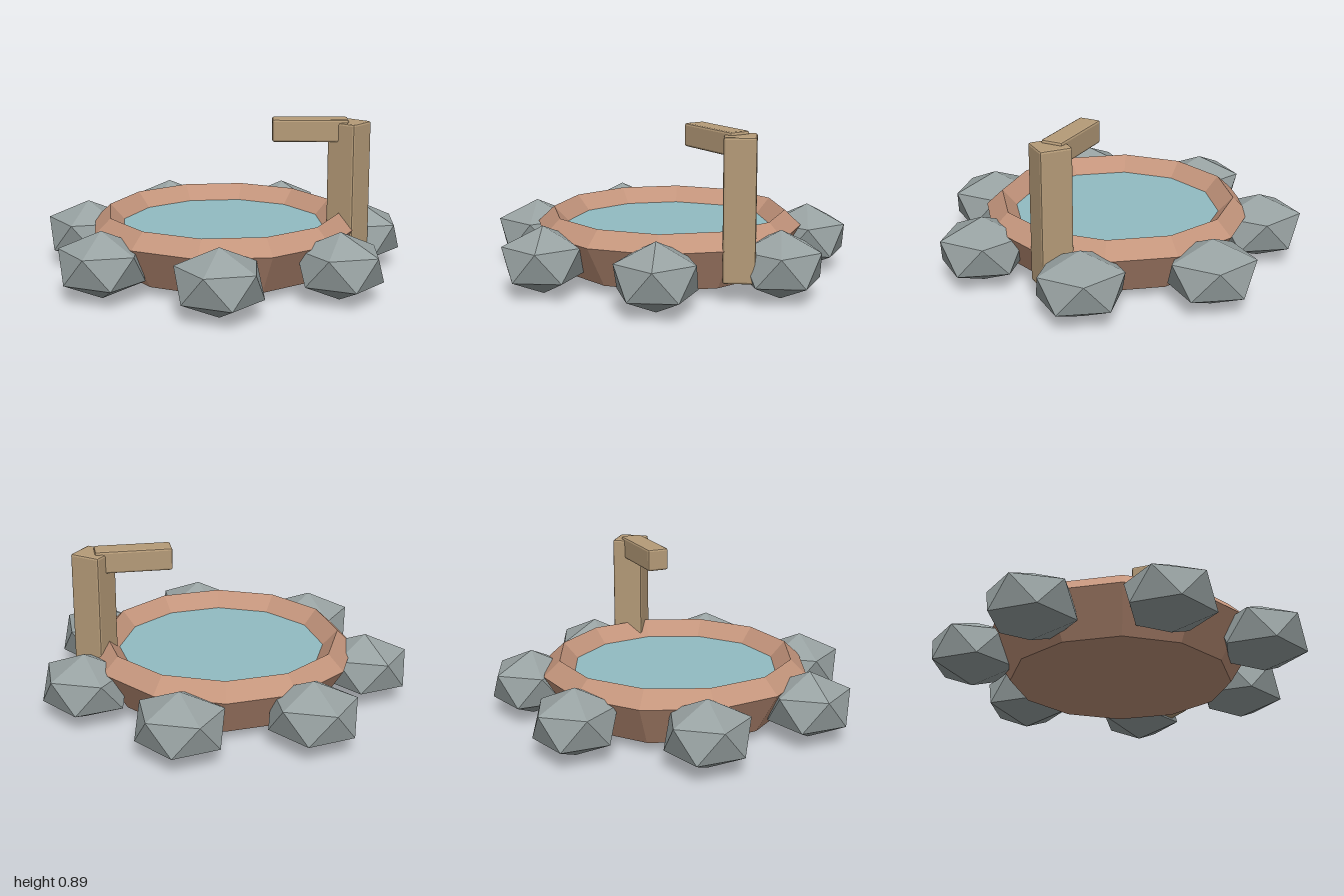
import * as THREE from 'three';
import { RoundedBoxGeometry } from 'three/addons/geometries/RoundedBoxGeometry.js';

const CX = -0.04; // basin axis

function add(parent, name, geometry, color, x, y, z) {
  const material = new THREE.MeshStandardMaterial({ color, flatShading: true });
  const mesh = new THREE.Mesh(geometry, material);
  mesh.name = name;
  mesh.position.set(x, y, z);
  parent.add(mesh);
  return mesh;
}

export function createModel() {
  const model = new THREE.Group();
  model.name = 'pond';

  // Twelve-sided basin: flat base, flared wall, ridged rim
  const profile = [[0, 0.055], [0.6, 0.055], [0.74, 0.285], [0.65, 0.37], [0.57, 0.285]]
    .map(([r, y]) => new THREE.Vector2(r, y));
  add(model, 'basin', new THREE.LatheGeometry(profile, 12), 0xc4957c, CX, 0, 0);

  // Water surface meeting the inner edge of the rim
  const water = new THREE.CircleGeometry(0.57, 12).rotateX(-Math.PI / 2);
  add(model, 'water', water, 0x92bcc2, CX, 0.285, 0);

  // Seven squashed stones, each an icosahedron standing on a vertex
  const stones = new THREE.Group();
  stones.name = 'stones';
  model.add(stones);
  const stone = new THREE.IcosahedronGeometry(1, 0)
    .rotateZ(-Math.atan(2 / (1 + Math.sqrt(5))))
    .scale(0.265, 0.184, 0.245);
  for (let i = 0; i < 7; i++) {
    const a = (i / 7) * Math.PI * 2;
    add(stones, 'stone', stone, 0x98a2a2, CX + 0.8 * Math.cos(a), 0.186, 0.8 * Math.sin(a));
  }

  // Wooden post and spout with chamfered edges
  const wood = 0xb59b78;
  add(model, 'post', new RoundedBoxGeometry(0.175, 0.76, 0.17, 1, 0.012), wood, 0.523, 0.493, -0.411);
  const spout = add(model, 'spout', new RoundedBoxGeometry(0.417, 0.125, 0.122, 1, 0.012), wood, 0.352, 0.827, -0.28);
  spout.rotation.y = THREE.MathUtils.degToRad(38);

  return model;
}
